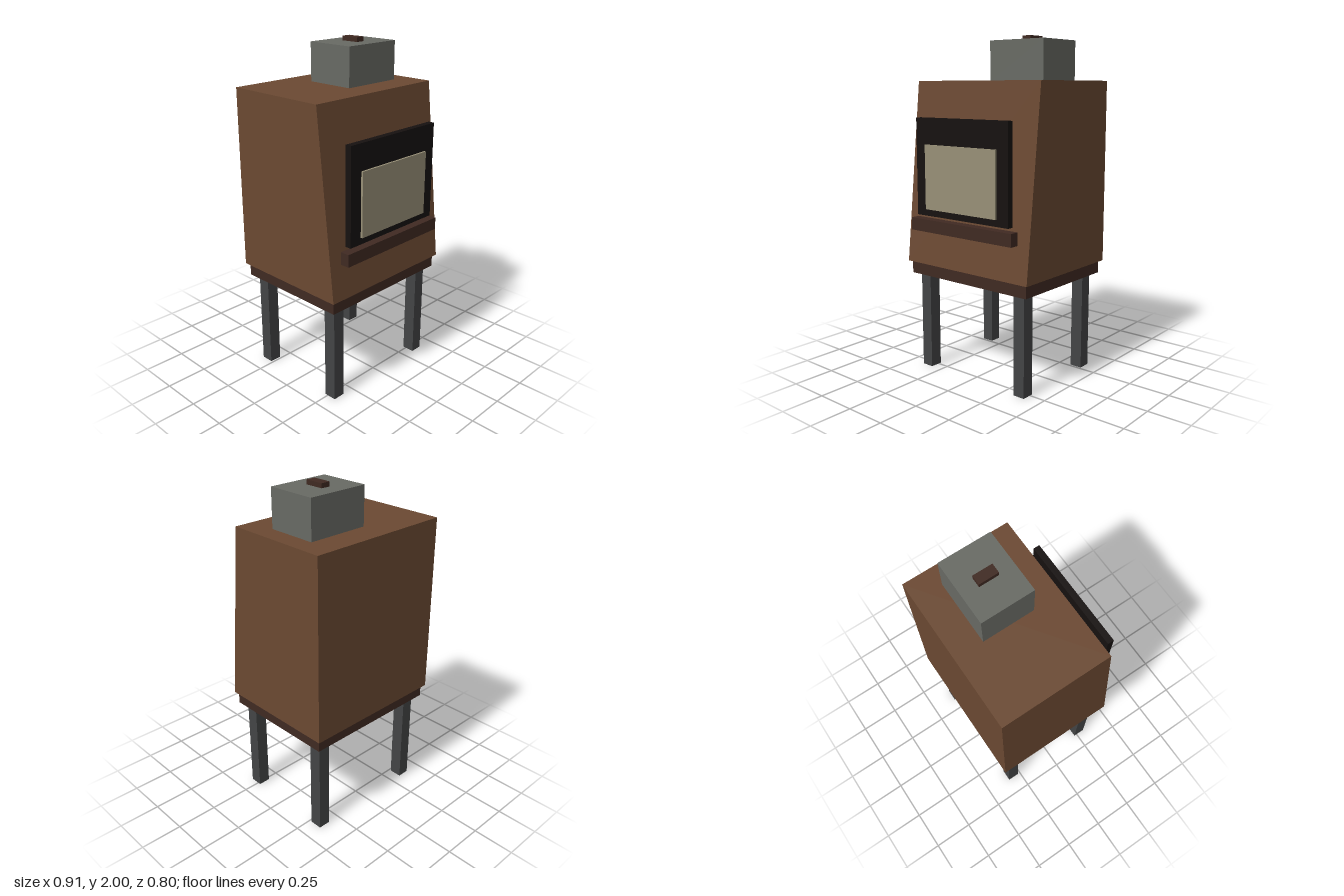
import * as THREE from 'three';

const mat = (color) => new THREE.MeshStandardMaterial({ color, flatShading: true });

export function createModel() {
  const model = new THREE.Group();
  const wood = mat(0x6b4932);
  const trim = mat(0x402a22);
  const metal = mat(0x434445);
  const black = mat(0x161110);
  const glass = mat(0x989077);
  const stone = mat(0x686a64);

  // Box given by its min and max along each axis
  function box(name, material, [x0, x1], [y0, y1], [z0, z1]) {
    const mesh = new THREE.Mesh(new THREE.BoxGeometry(x1 - x0, y1 - y0, z1 - z0), material);
    mesh.position.set((x0 + x1) / 2, (y0 + y1) / 2, (z0 + z1) / 2);
    mesh.name = name;
    model.add(mesh);
    return mesh;
  }

  // Cabinet: a box whose front leans back towards the top
  const cabinet = box('cabinet', wood, [-0.455, 0.455], [0.667, 1.747], [-0.398, 0.36]);
  const p = cabinet.geometry.attributes.position;
  for (let i = 0; i < p.count; i++) {
    if (p.getY(i) > 0 && p.getZ(i) > 0) p.setZ(i, p.getZ(i) - 0.114);
  }
  cabinet.geometry.computeVertexNormals();

  // Base and four legs
  box('base', trim, [-0.437, 0.437], [0.592, 0.667], [-0.377, 0.343]);
  for (const side of [-1, 1]) {
    for (const z of [0.269, -0.302]) {
      const x = side * 0.361;
      box('leg', metal, [x - 0.037, x + 0.037], [0, 0.592], [z - 0.038, z + 0.038]);
    }
  }

  // Front panel, screen and shelf
  box('screenFrame', black, [-0.343, 0.343], [0.97, 1.538], [0.342, 0.38]);
  box('screen', glass, [-0.265, 0.265], [1.01, 1.386], [0.376, 0.392]);
  box('shelf', trim, [-0.379, 0.379], [0.876, 0.95], [0.342, 0.398]);

  // Block on the top with its handle
  box('topBlock', stone, [-0.039, 0.341], [1.747, 1.974], [-0.23, 0.075]);
  box('topHandle', trim, [0.122, 0.179], [1.974, 2], [-0.135, -0.021]);

  return model;
}
